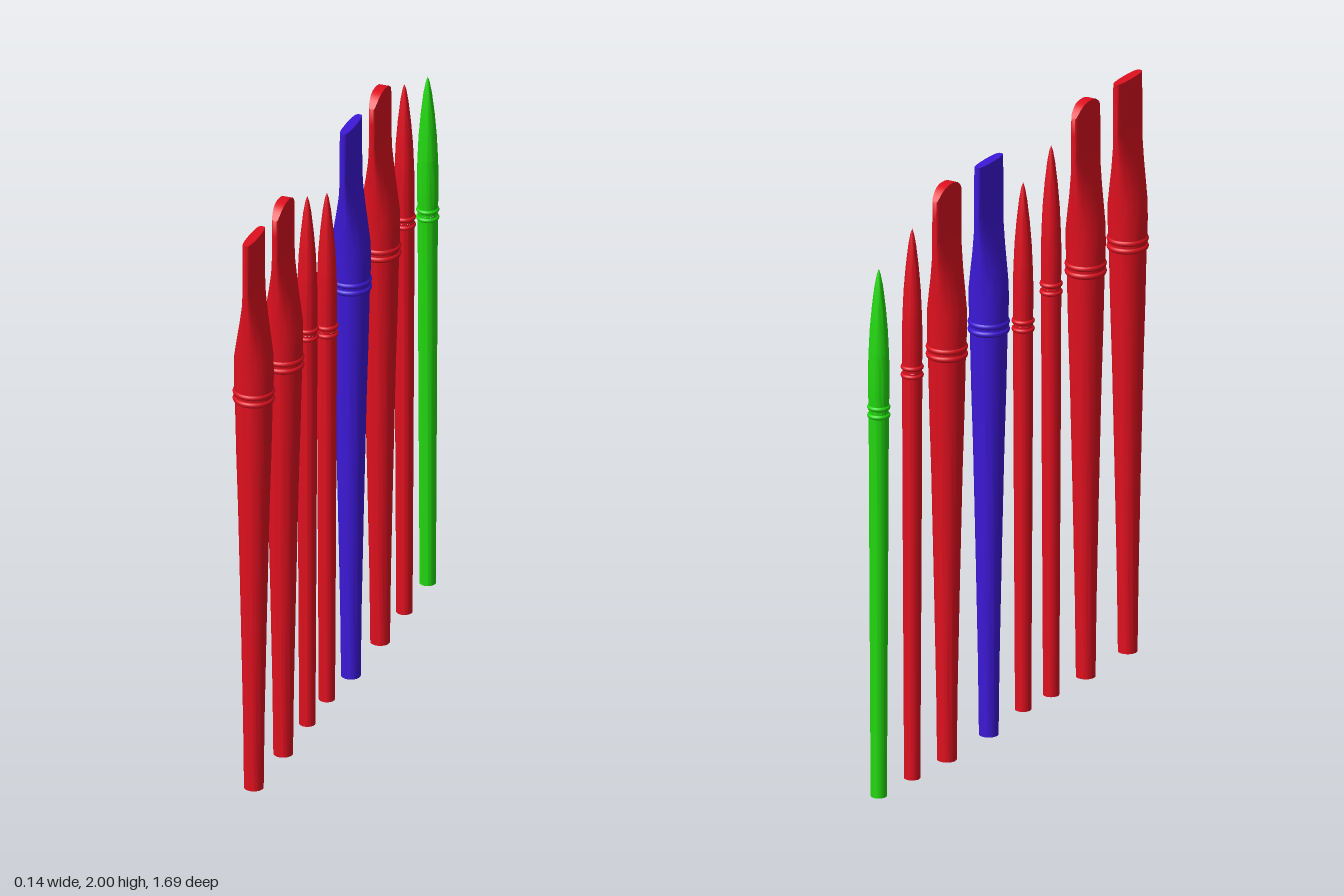
import * as THREE from 'three';
import { toCreasedNormals } from 'three/addons/utils/BufferGeometryUtils.js';

const RED = 0xe0101f, BLUE = 0x3d18d8, GREEN = 0x22d80f;
const SEG = 40;

// Smooth lathe with sharp edges kept; profile is a list of [radius, y]
function turned(profile) {
  const pts = profile.map(([r, y]) => new THREE.Vector2(r, y));
  return toCreasedNormals(new THREE.LatheGeometry(pts, SEG), 0.7);
}

// Skin over rows { y, a, b, n, dome }: half widths a (x) and b (z),
// n = 1 is an ellipse, smaller n is squarer; dome lowers the outer corners
function loft(rows) {
  const pos = [], index = [];
  rows.forEach(({ y, a, b, n = 1, dome = 0 }) => {
    for (let i = 0; i < SEG; i++) {
      const t = (i / SEG) * Math.PI * 2, c = Math.cos(t), s = Math.sin(t);
      const x = a * Math.sign(c) * Math.abs(c) ** n;
      pos.push(x, y - dome * Math.abs(s) ** 2.6, b * s);
    }
  });
  for (let j = 0; j < rows.length - 1; j++) {
    for (let i = 0; i < SEG; i++) {
      const p = j * SEG + i, q = j * SEG + ((i + 1) % SEG);
      index.push(p, p + SEG, q, q, p + SEG, q + SEG);
    }
  }
  const g = new THREE.BufferGeometry();
  g.setAttribute('position', new THREE.Float32BufferAttribute(pos, 3));
  g.setIndex(index);
  return toCreasedNormals(g, 0.7);
}

function add(group, name, geometry, material) {
  const mesh = new THREE.Mesh(geometry, material);
  mesh.name = name;
  group.add(mesh);
  return mesh;
}

// Pair of crimped rings where the handle meets the ferrule
function addRings(group, radius, tube, heights, material) {
  for (const y of heights) {
    const ring = add(group, 'crimpRing', new THREE.TorusGeometry(radius, tube, 10, SEG), material);
    ring.rotation.x = Math.PI / 2;
    ring.position.y = y;
  }
}

// Wide brush: tapered handle, ferrule pressed flat, blade of bristles
function flatBrush(material, rounded) {
  const g = new THREE.Group();
  add(g, 'handle', turned([
    [0, 0], [0.032, 0], [0.035, 0.25], [0.042, 0.6], [0.051, 1.0], [0.057, 1.2], [0.062, 1.42],
  ]), material);
  addRings(g, 0.058, 0.011, [1.408, 1.434], material);
  add(g, 'ferrule', loft([
    { y: 1.4, a: 0.063, b: 0.063 },
    { y: 1.5, a: 0.065, b: 0.066 },
    { y: 1.56, a: 0.063, b: 0.068, n: 0.95 },
    { y: 1.62, a: 0.053, b: 0.071, n: 0.88 },
    { y: 1.69, a: 0.039, b: 0.074, n: 0.78 },
    { y: 1.76, a: 0.025, b: 0.077, n: 0.64 },
    { y: 1.81, a: 0.018, b: 0.08, n: 0.5 },
  ]), material);
  const top = rounded ? 2 : 1.99, dome = rounded ? 0.045 : 0;
  add(g, 'bristles', loft([
    { y: 1.81, a: 0.018, b: 0.08, n: 0.5 },
    { y: 1.9, a: 0.0175, b: 0.08, n: 0.5 },
    { y: top, a: 0.017, b: 0.079, n: 0.5, dome },
    { y: top, a: 0, b: 0.079, n: 0.5, dome },
  ]), material);
  return g;
}

// Round brush: slim handle, narrow ferrule, pointed bristles
function roundBrush(material, base, drop, girth) {
  const g = new THREE.Group();
  const neck = 1.42 - drop;
  add(g, 'handle', turned([
    [0, base], [0.0265, base], [0.029, 0.5], [0.0315, 1.0], [0.033, neck],
  ]), material);
  addRings(g, 0.0295, 0.0085, [neck - 0.013, neck + 0.015], material);
  add(g, 'ferrule', turned([
    [0.032, neck], [0.033 * girth, neck + 0.06], [0.0335 * girth, neck + 0.13],
    [0.0315 * girth, neck + 0.2],
  ]), material);
  add(g, 'bristles', turned([
    [0.0315 * girth, neck + 0.2], [0.028 * girth, neck + 0.28], [0.0215 * girth, neck + 0.36],
    [0.013 * girth, neck + 0.435], [0.006, neck + 0.475], [0, neck + 0.493],
  ]), material);
  return g;
}

export function createModel() {
  const model = new THREE.Group();
  model.name = 'brushSet';
  const [red, blue, green] = [RED, BLUE, GREEN].map(
    (color) => new THREE.MeshStandardMaterial({ color }));

  // Row of brushes from front to back
  const row = [
    ['flatBrush', 0.765, flatBrush(red, false)],
    ['filbertBrush', 0.5, flatBrush(red, true)],
    ['longRoundBrush', 0.282, roundBrush(red, 0.008, 0, 1)],
    ['shortRoundBrush', 0.105, roundBrush(red, 0.015, 0.07, 1)],
    ['blueFlatBrush', -0.112, flatBrush(blue, false)],
    ['filbertBrush', -0.376, flatBrush(red, true)],
    ['longRoundBrush', -0.595, roundBrush(red, 0.008, 0, 1)],
    ['greenRoundBrush', -0.806, roundBrush(green, 0.015, 0.07, 1.06)],
  ];
  for (const [name, z, brush] of row) {
    brush.name = name;
    brush.position.z = z;
    model.add(brush);
  }
  return model;
}
